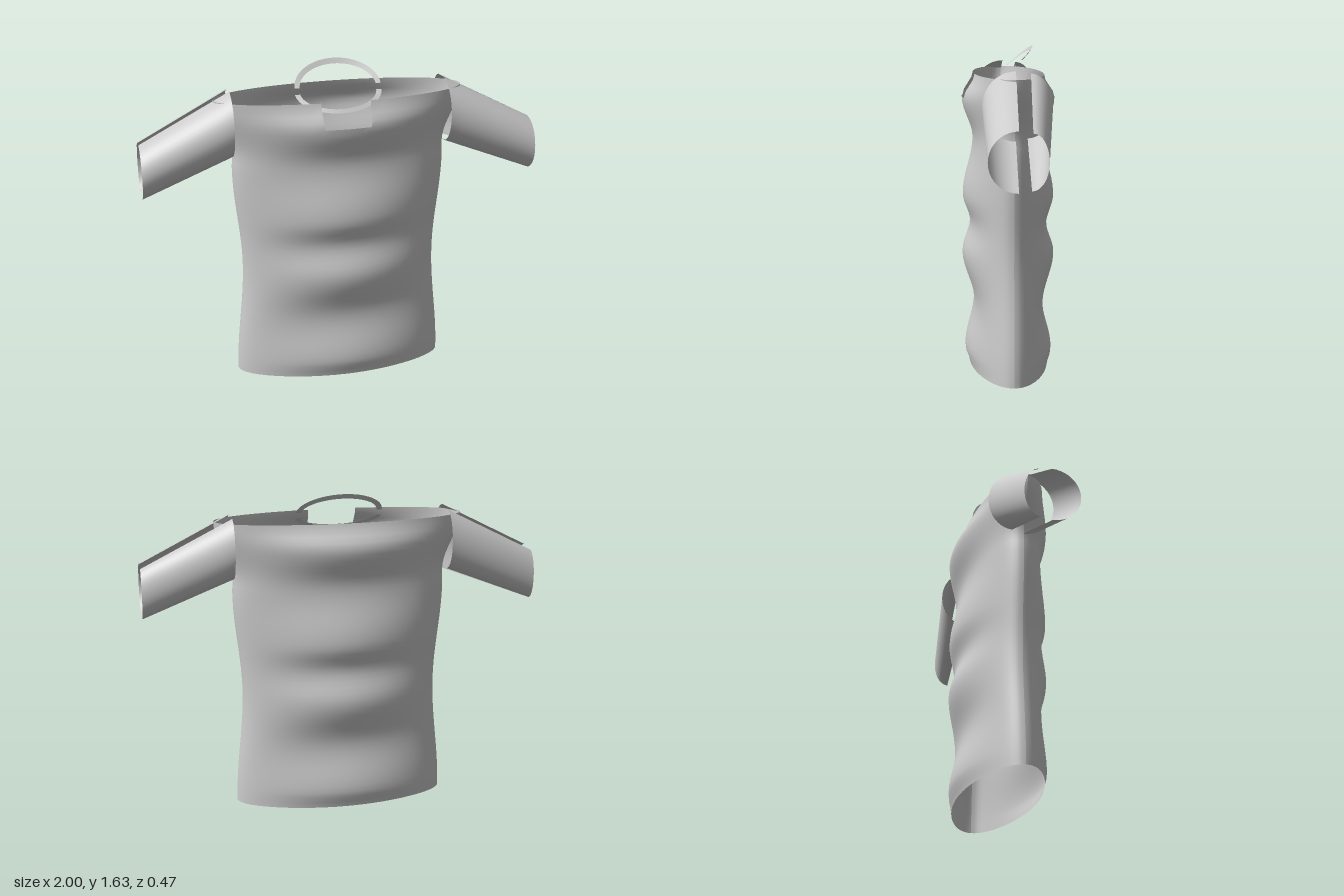
import * as THREE from 'three';

const fabric = new THREE.MeshStandardMaterial({ color: 0xcccccc, side: THREE.DoubleSide });

// Open cloth sheet: point(u, v) gives [x, y, z]; skip(i, j) leaves a cell out.
// flip keeps the outer side of mirrored sheets facing outward.
function sheet(name, cols, rows, point, flip = false, skip = () => false) {
  const pos = [], index = [];
  for (let j = 0; j <= rows; j++)
    for (let i = 0; i <= cols; i++) pos.push(...point(i / cols, j / rows));
  for (let j = 0; j < rows; j++)
    for (let i = 0; i < cols; i++) {
      if (skip(i, j)) continue;
      const a = j * (cols + 1) + i, b = a + 1, c = a + cols + 1, d = c + 1;
      if (flip) index.push(a, d, b, a, c, d);
      else index.push(a, b, d, a, d, c);
    }
  const g = new THREE.BufferGeometry();
  g.setAttribute('position', new THREE.Float32BufferAttribute(pos, 3));
  g.setIndex(index);
  g.computeVertexNormals();
  const mesh = new THREE.Mesh(g, fabric);
  mesh.name = name;
  return mesh;
}

// Smooth interpolation through [y, value] keys
function ease(keys, y) {
  let k = 0;
  while (k < keys.length - 2 && y > keys[k + 1][0]) k++;
  const [y0, a] = keys[k], [y1, b] = keys[k + 1];
  return a + (b - a) * (1 - Math.cos(Math.PI * (y - y0) / (y1 - y0))) / 2;
}

const HEIGHT = 1.5;
const halfWidth = [[0, 0.545], [0.6, 0.505], [1.14, 0.545], [1.2, 0.542], [1.5, 0.63]];
const folds = [[0, 0.02], [0.08, 0.042], [0.33, -0.004], [0.58, 0.055], [0.74, 0.015],
  [0.88, 0.052], [1.17, 0], [1.38, 0.055], [1.5, -0.003]];

// Half-elliptical body panel with folds that fade toward the side seams
function panel(name, side, skip) {
  return sheet(name, 32, 50, (u, v) => {
    const t = (u - 0.5) * Math.PI, y = v * HEIGHT, c = Math.cos(t);
    return [ease(halfWidth, y) * Math.sin(t), y, side * (0.18 * c + ease(folds, y) * c ** 4)];
  }, side < 0, skip);
}

// Half-shell of a sleeve: each end is [x, top y, top z, bottom y, bottom z, bulge z]
function sleeveHalf(name, mirror, inner, outer, front) {
  return sheet(name, 20, 8, (u, v) => {
    const [x, y1, z1, y0, z0, bulge] = inner.map((a, i) => a + (outer[i] - a) * v);
    const t = u * Math.PI, s = (1 - Math.cos(t)) / 2;
    const edge = z1 + (z0 - z1) * s;
    return [mirror * x, y1 + (y0 - y1) * s, edge + (bulge - edge) * Math.sin(t)];
  }, mirror * front < 0);
}

// Half of the thin neck band, sloping away from the shoulders
function collarHalf(name, side, y, depth, rise) {
  return sheet(name, 32, 1, (u, v) => {
    const t = 0.05 + u * (Math.PI - 0.1), s = Math.sin(t), k = 1 - 0.12 * v;
    return [0.22 * k * Math.cos(t), y + rise * (1 - 0.22 * v) * s, side * depth * k * s];
  }, side < 0);
}

export function createModel() {
  const group = new THREE.Group();
  group.name = 'shirt';

  // Body, with a square neck notch cut from the front
  group.add(panel('frontPanel', 1, (i, j) => i >= 14 && i < 18 && j >= 46));
  group.add(panel('backPanel', -1));

  // Sleeves, open along the top and bottom between the halves
  for (const [label, m] of [['left', 1], ['right', -1]]) {
    const sleeve = new THREE.Group();
    sleeve.name = label + 'Sleeve';
    sleeve.add(sleeveHalf('sleeveFront', m,
      [0.545, 1.535, -0.005, 1.205, -0.005, 0.155], [1, 1.3, 0.012, 1.025, 0.012, 0.15], 1));
    sleeve.add(sleeveHalf('sleeveBack', m,
      [0.545, 1.525, -0.075, 1.22, -0.06, -0.18], [1, 1.29, -0.05, 1.035, -0.045, -0.123], -1));
    group.add(sleeve);
  }

  // Neck band
  group.add(collarHalf('collarFront', 1, 1.5, 0.11, -0.08));
  group.add(collarHalf('collarBack', -1, 1.52, 0.125, 0.115));
  return group;
}
